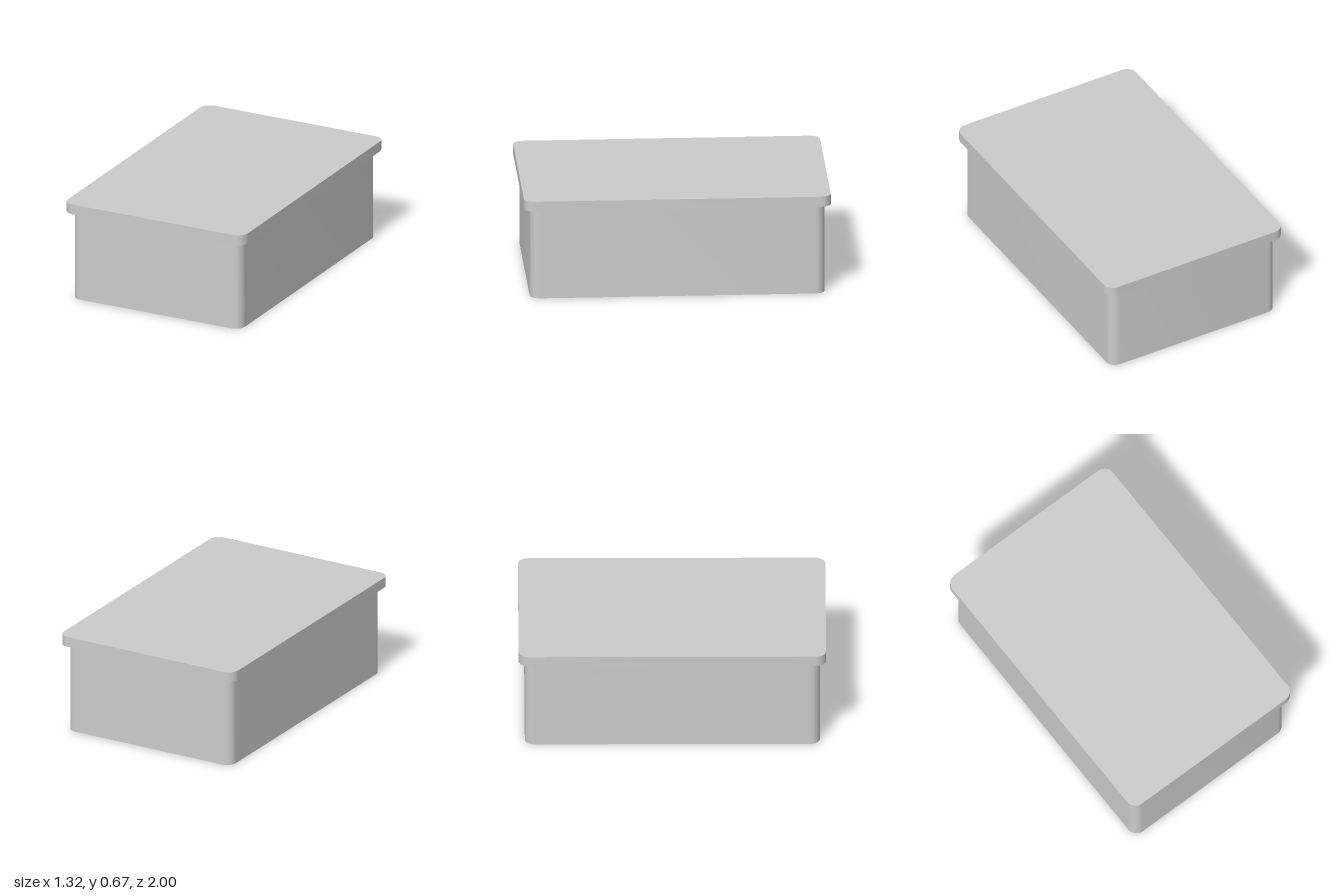
import * as THREE from 'three';
import { toCreasedNormals } from 'three/addons/utils/BufferGeometryUtils.js';

const material = new THREE.MeshStandardMaterial({ color: 0xcccccc });

// Upright slab with rounded vertical corners, standing on y = bottom
function roundedSlab(name, halfX, halfZ, radius, bottom, top) {
  const corners = [[1, 1, 0], [-1, 1, 1], [-1, -1, 2], [1, -1, 3]];
  const shape = new THREE.Shape();
  shape.moveTo(halfX, -halfZ + radius);
  for (const [sx, sz, quarter] of corners) {
    const start = quarter * Math.PI / 2;
    shape.absarc(sx * (halfX - radius), sz * (halfZ - radius), radius, start, start + Math.PI / 2, false);
  }
  const geometry = new THREE.ExtrudeGeometry(shape, {
    depth: top - bottom, bevelEnabled: false, curveSegments: 12,
  });
  geometry.rotateX(-Math.PI / 2);
  geometry.translate(0, bottom, 0);
  const mesh = new THREE.Mesh(toCreasedNormals(geometry, 0.6), material);
  mesh.name = name;
  return mesh;
}

export function createModel() {
  const model = new THREE.Group();
  model.name = 'liddedBox';
  // Tall container with an overhanging flat lid
  model.add(roundedSlab('container', 0.62, 0.96, 0.065, 0, 0.603));
  model.add(roundedSlab('lid', 0.66, 1, 0.07, 0.603, 0.672));
  return model;
}
